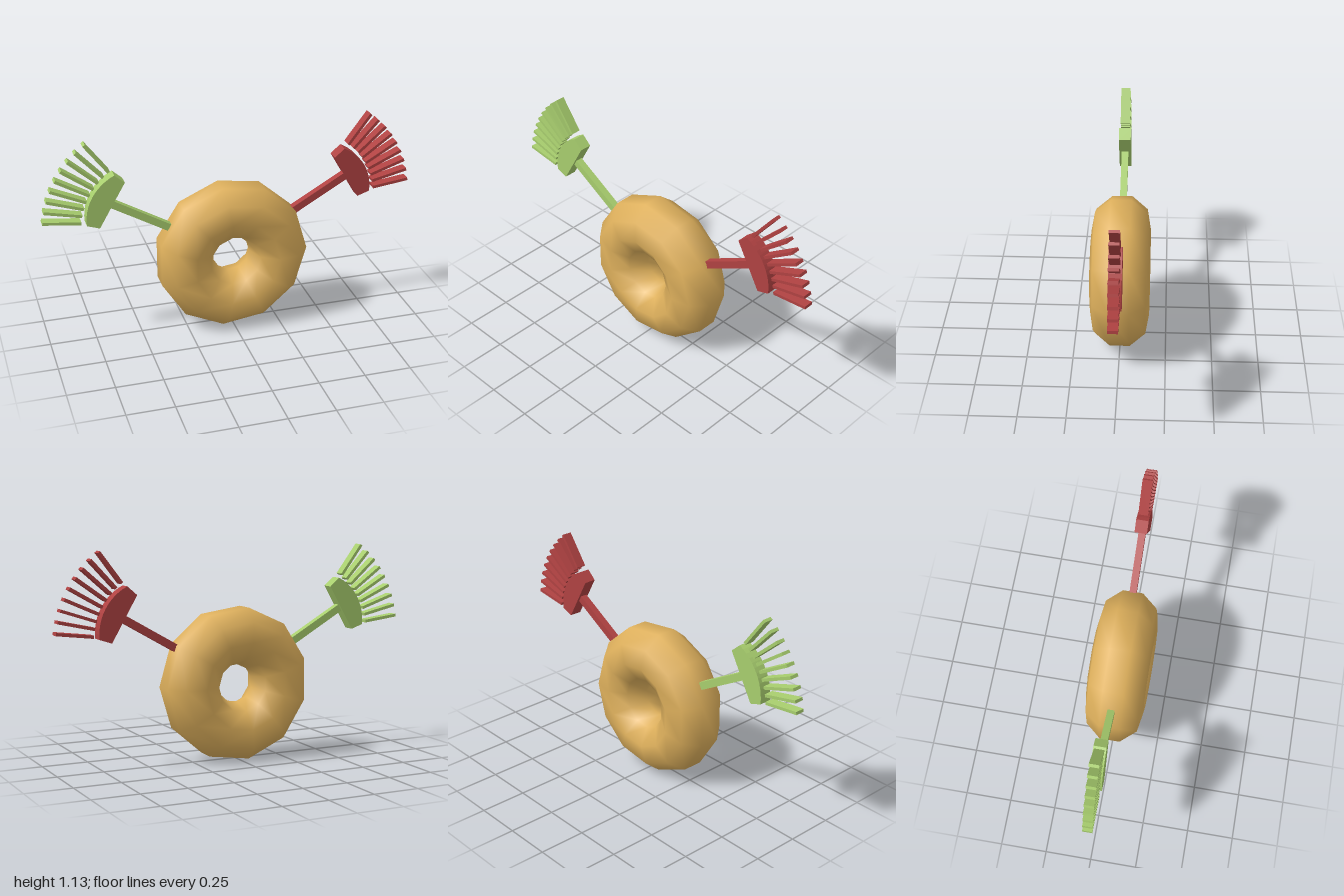
import * as THREE from 'three';

const paint = (color) => new THREE.MeshStandardMaterial({ color });

// Smooth ring, 11 sides around and 9 around the tube, with a tube vertex facing the hole
function makeRing() {
  const R = 0.262, r = 0.16;
  const geo = new THREE.TorusGeometry(R, r, 9, 11);
  const { position, normal, uv } = geo.attributes;
  for (let i = 0; i < position.count; i++) {
    const around = uv.getX(i) * Math.PI * 2;
    const tube = uv.getY(i) * Math.PI * 2 + Math.PI;
    const c = Math.cos(around), s = Math.sin(around), n = Math.cos(tube), z = Math.sin(tube);
    position.setXYZ(i, (R + r * n) * c, (R + r * n) * s, r * z);
    normal.setXYZ(i, n * c, n * s, z);
  }
  const ring = new THREE.Mesh(geo, paint(0xdeb05c));
  ring.name = 'ringBody';
  ring.position.set(0.002, 0.41, 0);
  return ring;
}

// Rake-like arm, built along its own +x axis
function makeArm(name, color) {
  const arm = new THREE.Group();
  arm.name = name;
  const material = paint(color);
  const add = (partName, geo) => {
    const mesh = new THREE.Mesh(geo, material);
    mesh.name = partName;
    arm.add(mesh);
    return mesh;
  };

  // Square handle
  add('handle', new THREE.BoxGeometry(0.36, 0.04, 0.038)).position.x = 0.78;

  // Palm: straight inner edge, curved outer edge
  const shape = new THREE.Shape();
  const radius = 0.268, half = Math.asin(0.153 / radius);
  shape.moveTo(0.947, 0.139);
  shape.lineTo(0.947, -0.139);
  shape.absarc(0.796, 0, radius, -half, half, false);
  shape.closePath();
  const palmGeo = new THREE.ExtrudeGeometry(shape, { depth: 0.066, bevelEnabled: false, curveSegments: 6 });
  palmGeo.translate(0, 0, -0.033);
  add('palm', palmGeo);

  // Fan of nine slats just off the palm
  const slatGeo = new THREE.BoxGeometry(0.2, 0.016, 0.052);
  slatGeo.translate(0.494, 0, 0);
  for (let i = 0; i < 9; i++) {
    const slat = add('slat' + (i + 1), slatGeo);
    slat.position.x = 0.684;
    slat.rotation.z = THREE.MathUtils.degToRad(-23 + i * 5.75);
  }
  return arm;
}

export function createModel() {
  const model = new THREE.Group();
  model.name = 'ringWithRakeArms';
  model.add(makeRing());
  for (const side of [1, -1]) {
    const arm = side > 0 ? makeArm('leftArm', 0xb04242) : makeArm('rightArm', 0xa8ce6e);
    arm.position.set(-0.182 * side, 0.315, 0);
    arm.rotation.z = side > 0 ? Math.PI / 6 : Math.PI * 5 / 6;
    model.add(arm);
  }
  return model;
}
